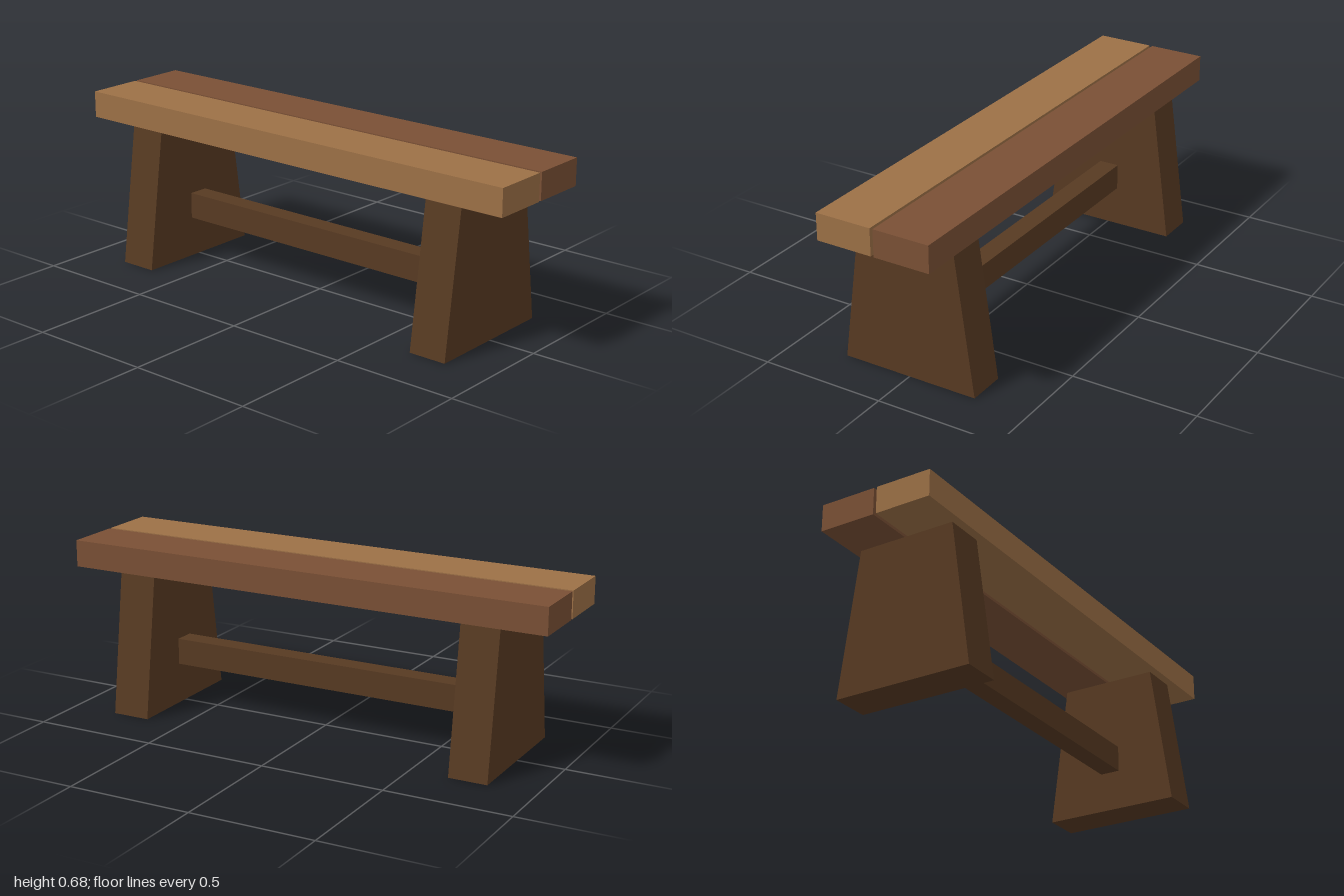
import * as THREE from 'three';

const mat = (name, color) => {
  const m = new THREE.MeshStandardMaterial({ color });
  m.name = name;
  return m;
};

export function createModel() {
  const lightWood = mat('light wood', 0x9c7046);
  const redWood = mat('reddish wood', 0x7a5035);
  const darkWood = mat('dark wood', 0x573a22);

  const group = new THREE.Group();
  group.name = 'bench';
  const add = (name, geometry, material, x, y, z) => {
    const mesh = new THREE.Mesh(geometry, material);
    mesh.name = name;
    mesh.position.set(x, y, z);
    group.add(mesh);
  };

  const legTop = 0.574, seatTop = 0.681;

  // Two seat planks with a narrow gap between them
  const plank = new THREE.BoxGeometry(2, seatTop - legTop, 0.227);
  const plankY = (seatTop + legTop) / 2;
  add('frontPlank', plank, lightWood, 0, plankY, 0.1195);
  add('backPlank', plank, redWood, 0, plankY, -0.1195);

  // Tapered slab legs, wider at the floor
  const legWidth = 0.155;
  const profile = new THREE.Shape([
    new THREE.Vector2(-0.28, 0),
    new THREE.Vector2(0.28, 0),
    new THREE.Vector2(0.2, legTop),
    new THREE.Vector2(-0.2, legTop),
  ]);
  const leg = new THREE.ExtrudeGeometry(profile, { depth: legWidth, bevelEnabled: false });
  leg.translate(0, 0, -legWidth / 2);
  leg.rotateY(Math.PI / 2);
  add('leftLeg', leg, darkWood, 0.7325, 0, 0);
  add('rightLeg', leg, darkWood, -0.7325, 0, 0);

  // Stretcher between the legs
  add('stretcher', new THREE.BoxGeometry(1.31, 0.106, 0.082), darkWood, 0, 0.217, 0);

  return group;
}
